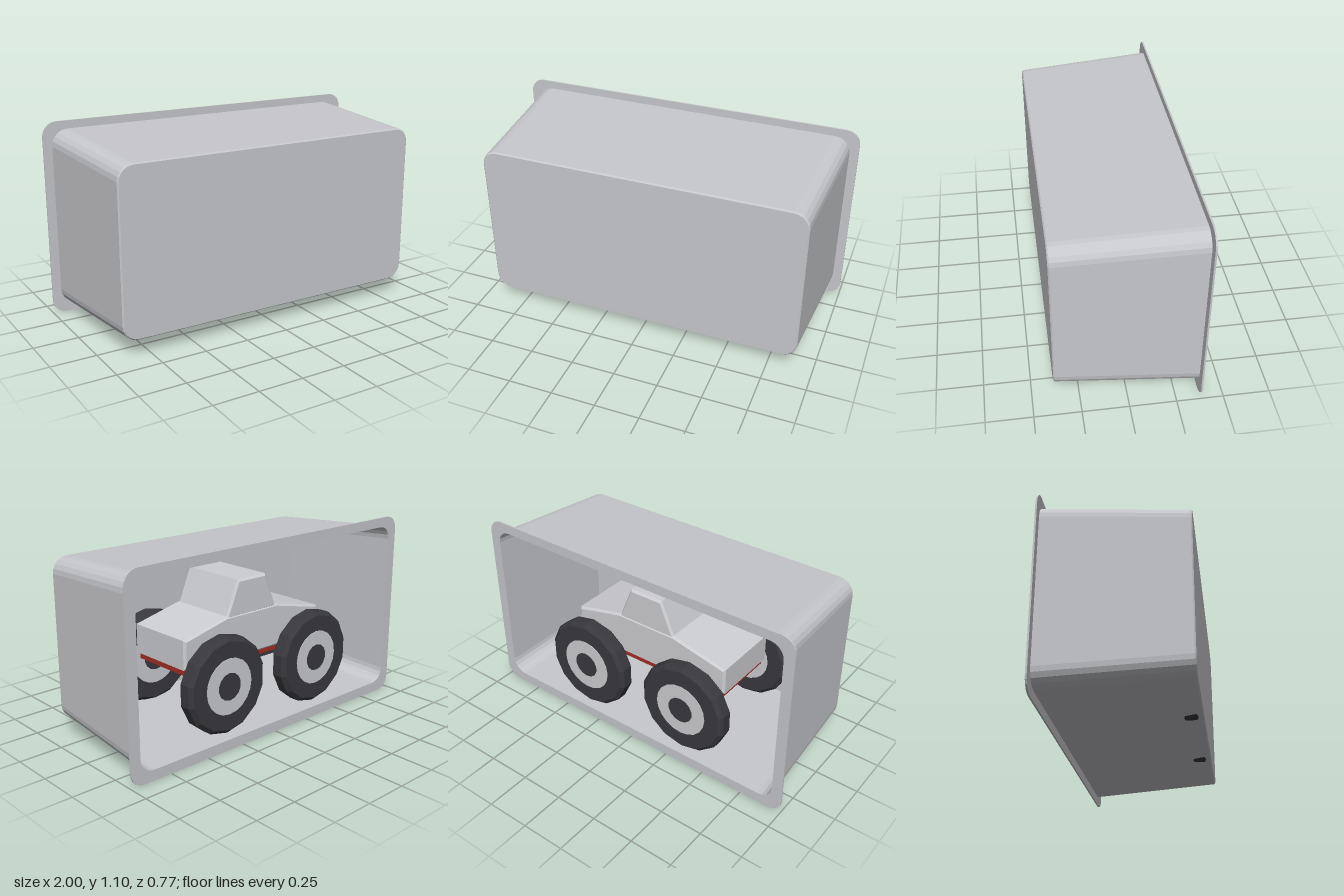
import * as THREE from 'three';

const mat = (name, color) => {
  const m = new THREE.MeshStandardMaterial({ color });
  m.name = name;
  return m;
};

// Give every facet its own normal
function facet(geometry) {
  const g = geometry.index ? geometry.toNonIndexed() : geometry;
  g.computeVertexNormals();
  return g;
}

// Rounded rectangle ring, counter-clockwise seen from +z
function ring(halfW, y0, y1, radius, z) {
  const pts = [], steps = 5;
  const corners = [[1, 1], [-1, 1], [-1, -1], [1, -1]];
  corners.forEach(([sx, sy], c) => {
    const cx = sx * (halfW - radius);
    const cy = sy > 0 ? y1 - radius : y0 + radius;
    for (let i = 0; i <= steps; i++) {
      const a = (c + i / steps) * Math.PI / 2;
      pts.push([cx + radius * Math.cos(a), cy + radius * Math.sin(a), z]);
    }
  });
  return pts;
}

// Join rings into a skin and cap both ends
function loft(rings) {
  const pos = [], n = rings[0].length;
  const tri = (a, b, c) => pos.push(...a, ...b, ...c);
  for (let r = 0; r < rings.length - 1; r++) {
    const a = rings[r], b = rings[r + 1];
    for (let i = 0; i < n; i++) {
      const j = (i + 1) % n;
      tri(a[i], a[j], b[i]);
      tri(a[j], b[j], b[i]);
    }
  }
  const first = rings[0], last = rings[rings.length - 1];
  for (let i = 0; i < n; i++) {
    const j = (i + 1) % n;
    tri([0, 0.55, first[0][2]], first[j], first[i]);
    tri([0, 0.55, last[0][2]], last[i], last[j]);
  }
  const g = new THREE.BufferGeometry();
  g.setAttribute('position', new THREE.Float32BufferAttribute(pos, 3));
  return facet(g);
}

// Side profile in x and y, extruded evenly about z = 0
function slab(points, halfDepth, bevel = 0) {
  const shape = new THREE.Shape(points.map(([x, y]) => new THREE.Vector2(x, y)));
  const depth = 2 * (halfDepth - bevel);
  const g = new THREE.ExtrudeGeometry(shape, {
    depth, bevelEnabled: bevel > 0, bevelSize: bevel, bevelThickness: bevel,
    bevelOffset: -bevel, bevelSegments: 1,
  });
  return g.translate(0, 0, -depth / 2);
}

export function createModel() {
  const model = new THREE.Group();
  const shellGrey = mat('shell grey', 0xc6c7cb);
  const bodyGrey = mat('body grey', 0xcdced2);
  const black = mat('rubber black', 0x39383d);
  const red = mat('chassis red', 0xa52d25);

  const add = (parent, name, geometry, material, x = 0, y = 0, z = 0) => {
    const mesh = new THREE.Mesh(geometry, material);
    mesh.name = name;
    mesh.position.set(x, y, z);
    parent.add(mesh);
    return mesh;
  };

  // Tapered open case with a flange round the open back
  add(model, 'case', loft([
    ring(0.897, 0.104, 1.0, 0.08, 0.377),
    ring(0.94, 0.06, 1.045, 0.08, -0.385),
    ring(1.0, 0, 1.1, 0.08, -0.385),
    ring(1.0, 0, 1.1, 0.08, -0.376),
    ring(0.95, 0.05, 1.055, 0.09, -0.376),
    ring(0.907, 0.095, 1.01, 0.085, 0.378),
    ring(0.9, 0.101, 1.003, 0.08, 0.385),
  ]), shellGrey);

  // Toy truck standing inside
  const truck = new THREE.Group();
  truck.name = 'truck';
  model.add(truck);

  add(truck, 'body', slab([
    [-0.51, 0.44], [-0.3, 0.425], [0.3, 0.425], [0.51, 0.44],
    [0.51, 0.605], [0.21, 0.675], [-0.17, 0.675], [-0.51, 0.6],
  ], 0.212, 0.012), bodyGrey);
  add(truck, 'cabin', slab([
    [-0.17, 0.66], [0.21, 0.66], [0.125, 0.865], [-0.085, 0.865],
  ], 0.208, 0.012), bodyGrey);
  add(truck, 'chassisPlate', new THREE.BoxGeometry(0.98, 0.03, 0.4), red, 0, 0.415, 0);
  add(truck, 'undercarriage', new THREE.BoxGeometry(0.6, 0.07, 0.2), black, 0, 0.365, 0);

  // Tyre section, rim and hub shared by all wheels
  const tyre = facet(new THREE.LatheGeometry([
    [0.05, -0.05], [0.25, -0.05], [0.272, -0.03],
    [0.272, 0.03], [0.25, 0.05], [0.05, 0.05],
  ].map(([r, y]) => new THREE.Vector2(r, y)), 14).rotateX(Math.PI / 2));
  const disc = (r, width, sides) =>
    new THREE.CylinderGeometry(r, r, width, sides).rotateX(Math.PI / 2);
  const rim = disc(0.158, 0.106, 20);
  const hub = disc(0.077, 0.112, 14);
  const axle = disc(0.035, 0.6, 12);

  for (const x of [-0.337, 0.337]) {
    add(truck, 'axle', axle, black, x, 0.355, 0);
    for (const z of [-0.317, 0.317]) {
      const wheel = new THREE.Group();
      wheel.name = 'wheel';
      wheel.position.set(x, 0.355, z);
      truck.add(wheel);
      add(wheel, 'tyre', tyre, black);
      add(wheel, 'rim', rim, bodyGrey);
      add(wheel, 'hub', hub, black);
    }
  }
  // Long rails under the truck
  for (const z of [-0.14, 0.14]) {
    add(truck, 'rail', new THREE.BoxGeometry(0.9, 0.035, 0.035), black, 0, 0.385, z);
  }
  return model;
}
